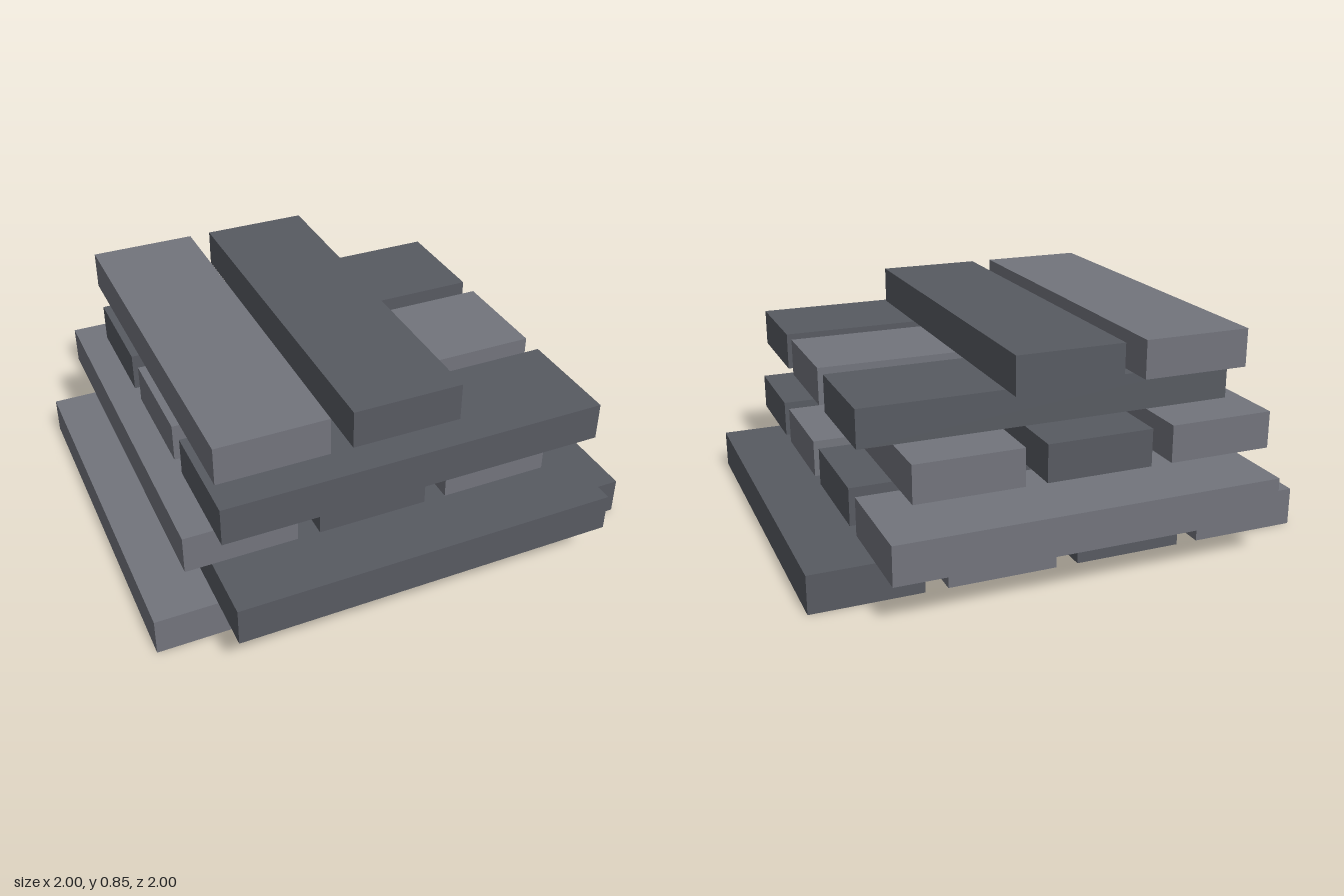
import * as THREE from 'three';

const WIDTH = 0.434, HEIGHT = 0.152, LENGTH = 1.523;
const STEP = 0.522;   // spacing of planks within a layer
const RISE = 0.175;   // spacing of layers

export function createModel() {
  const group = new THREE.Group();
  group.name = 'plankStack';
  const light = new THREE.MeshStandardMaterial({ color: 0x72747c });
  const dark = new THREE.MeshStandardMaterial({ color: 0x575a61 });
  const plank = new THREE.BoxGeometry(WIDTH, HEIGHT, LENGTH);

  // layers alternate direction; start is the centre of the outermost plank
  const layers = [
    { name: 'bottomLayer', count: 4, start: -0.783 },
    { name: 'secondLayer', count: 4, start: 0.783, crosswise: true },
    { name: 'thirdLayer', count: 3, start: -0.653 },
    { name: 'fourthLayer', count: 3, start: 0.653, crosswise: true },
    { name: 'topLayer', count: 2, start: -0.523 },
  ];

  layers.forEach(({ name, count, start, crosswise }, level) => {
    const layer = new THREE.Group();
    layer.name = name;
    layer.position.y = HEIGHT / 2 + level * RISE;
    for (let i = 0; i < count; i++) {
      // crosswise layers run from front to back, beginning with a dark plank
      const isDark = (i % 2 === 1) !== Boolean(crosswise);
      const mesh = new THREE.Mesh(plank, isDark ? dark : light);
      mesh.name = 'plank';
      const offset = start - Math.sign(start) * i * STEP;
      if (crosswise) {
        mesh.rotation.y = Math.PI / 2;
        mesh.position.z = offset;
      } else {
        mesh.position.x = offset;
      }
      layer.add(mesh);
    }
    group.add(layer);
  });
  return group;
}
